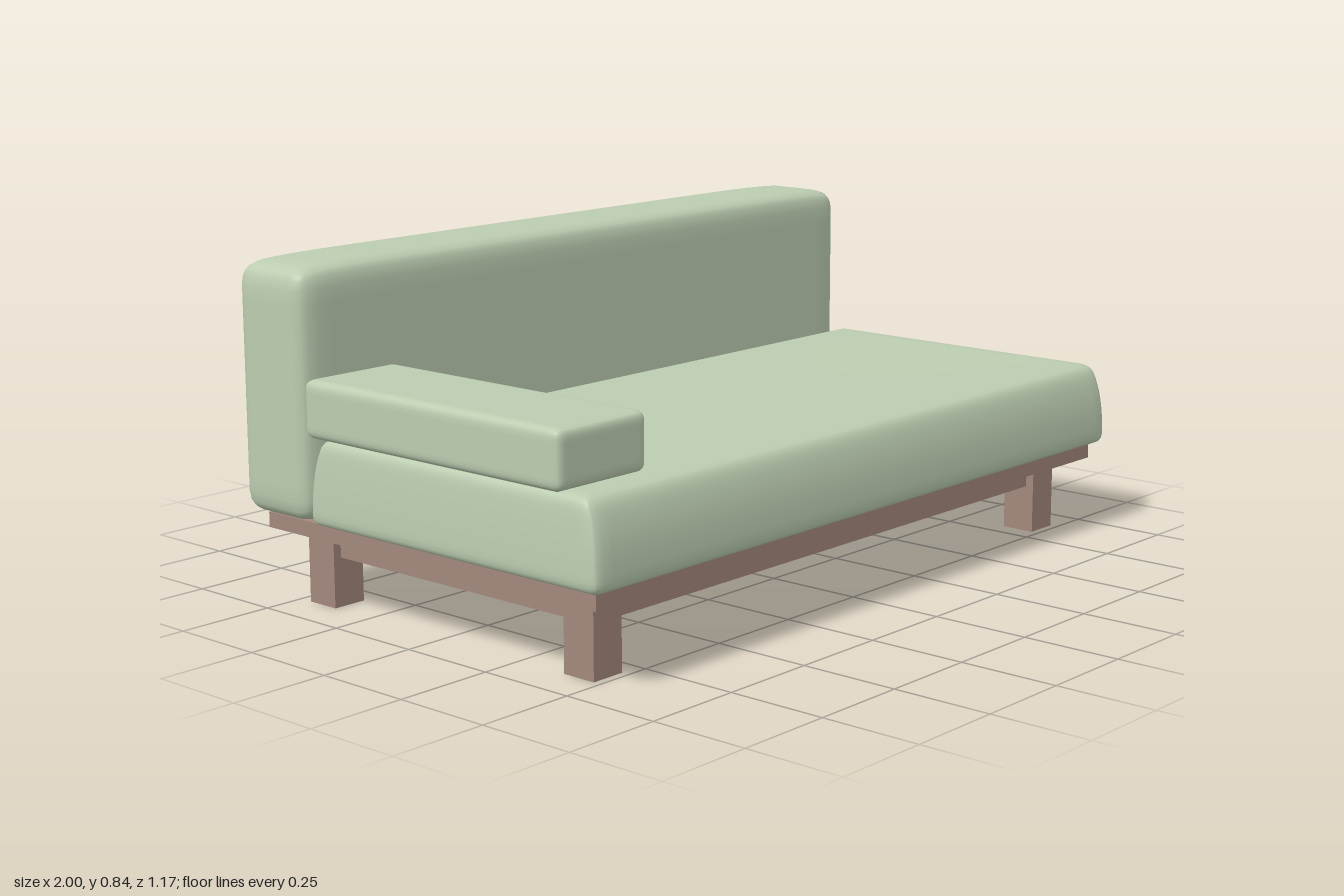
import * as THREE from 'three';
import { mergeVertices } from 'three/addons/utils/BufferGeometryUtils.js';

const fabric = new THREE.MeshStandardMaterial({ color: 0xbccdb1 });
fabric.name = 'sage fabric';
const wood = new THREE.MeshStandardMaterial({ color: 0xa3887c });
wood.name = 'brown wood';

// Box given by its min and max corners
function block(name, [x0, y0, z0], [x1, y1, z1]) {
  const mesh = new THREE.Mesh(new THREE.BoxGeometry(x1 - x0, y1 - y0, z1 - z0), wood);
  mesh.position.set((x0 + x1) / 2, (y0 + y1) / 2, (z0 + z1) / 2);
  mesh.name = name;
  return mesh;
}

// Soft rounded cushion between two corners; shape(p, u) can bend it, u being -1..1 in the box
function cushion(name, min, max, radius, shape) {
  const lo = new THREE.Vector3(...min), hi = new THREE.Vector3(...max);
  const half = hi.clone().sub(lo).multiplyScalar(0.5);
  const inner = half.clone().subScalar(radius);
  const outer = inner.clone().negate();
  let geo = new THREE.BoxGeometry(2, 2, 2, 28, 16, 20);
  geo.deleteAttribute('uv');
  geo.deleteAttribute('normal');
  geo = mergeVertices(geo);
  const pos = geo.attributes.position;
  const p = new THREE.Vector3(), core = new THREE.Vector3(), u = new THREE.Vector3();
  for (let i = 0; i < pos.count; i++) {
    p.fromBufferAttribute(pos, i);
    // crowd the grid towards the edges, then round them
    p.set(...p.toArray().map((v) => Math.sin(v * Math.PI / 2))).multiply(half);
    core.copy(p).clamp(outer, inner);
    p.sub(core).normalize().multiplyScalar(radius).add(core);
    u.copy(p).divide(half);
    if (shape) shape(p, u);
    pos.setXYZ(i, p.x, p.y, p.z);
  }
  geo.computeVertexNormals();
  const mesh = new THREE.Mesh(geo, fabric);
  mesh.position.copy(lo).add(hi).multiplyScalar(0.5);
  mesh.name = name;
  return mesh;
}

export function createModel() {
  const sofa = new THREE.Group();
  sofa.name = 'daybed';

  // Wooden base
  const base = new THREE.Group();
  base.name = 'base';
  base.add(block('platform', [-0.96, 0.188, -0.53], [0.96, 0.226, 0.55]));
  for (const s of [-1, 1]) {
    const x = s * 0.85;
    base.add(block('frontLeg', [x - 0.045, 0, 0.39], [x + 0.045, 0.188, 0.48]));
    base.add(block('backLeg', [x - 0.045, 0, -0.464], [x + 0.045, 0.188, -0.374]));
    base.add(block('sideRail', [x - 0.023, 0.122, -0.374], [x + 0.023, 0.188, 0.39]));
  }
  for (const [name, z] of [['frontRail', 0.435], ['backRail', -0.419]]) {
    base.add(block(name, [-0.805, 0.122, z - 0.023], [0.805, 0.188, z + 0.023]));
  }
  sofa.add(base);

  // Seat: narrows towards the top, with a slightly dished surface
  sofa.add(cushion('seat', [-0.995, 0.228, -0.345], [0.995, 0.442, 0.583], 0.028, (p, u) => {
    const t = (u.y + 1) / 2;
    p.x -= 0.012 * u.x * t ** 2;
    p.z -= 0.038 * u.z * t ** 3;
    if (u.y > 0) p.y -= 0.009 * u.y * (1 - u.x ** 2) * (1 - u.z ** 2);
  }));

  // Backrest: top dips a little at the ends
  sofa.add(cushion('backrest', [-1, 0.228, -0.583], [1, 0.842, -0.343], 0.05, (p, u) => {
    if (u.y > 0) p.y -= 0.012 * u.y * u.x ** 12;
  }));

  // Single armrest on the model's right
  sofa.add(cushion('armrest', [-1, 0.44, -0.345], [-0.717, 0.58, 0.481], 0.022));
  return sofa;
}
